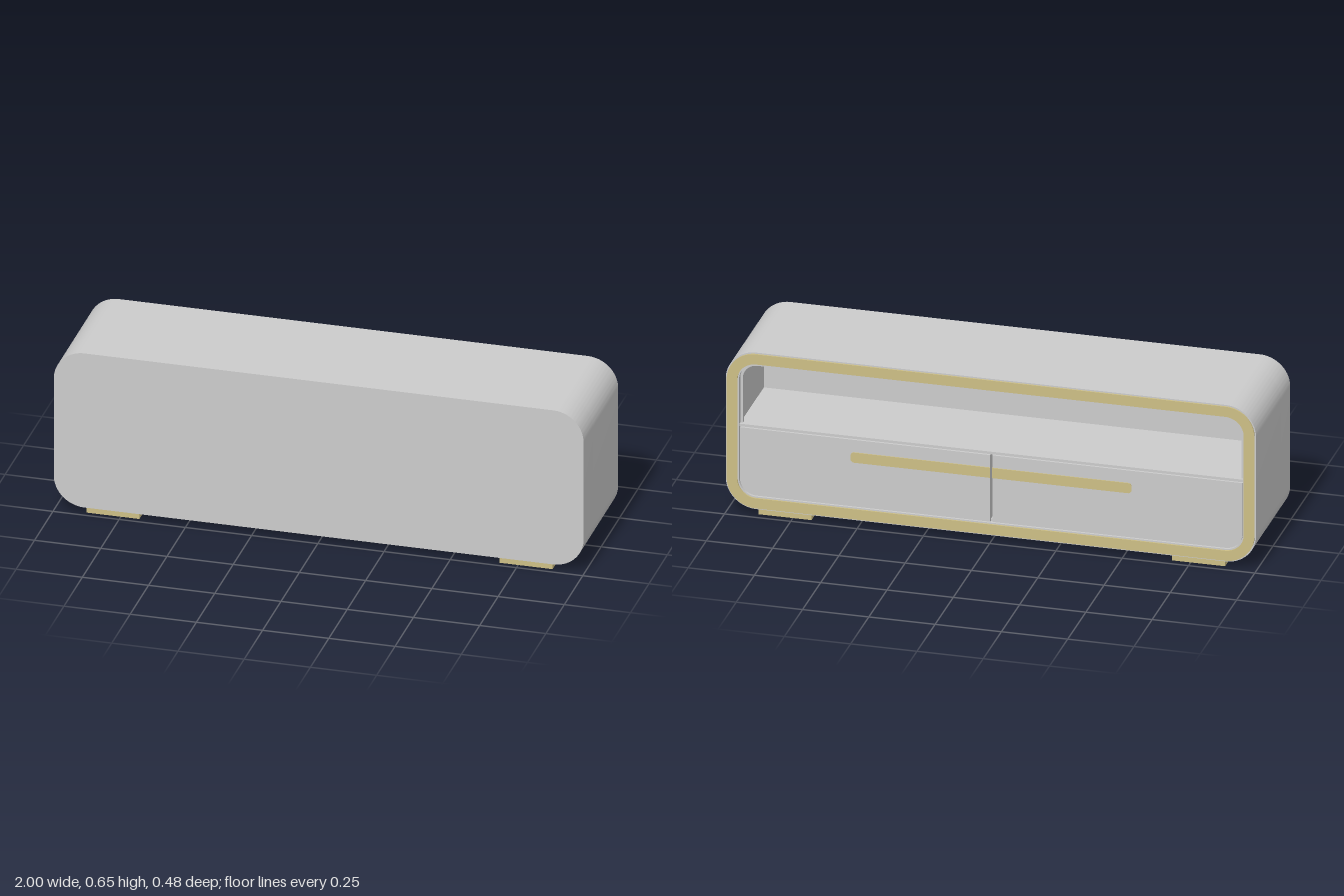
import * as THREE from 'three';
import { toCreasedNormals } from 'three/addons/utils/BufferGeometryUtils.js';

const LEFT = -1, RIGHT = 1, BOTTOM = 0.025, TOP = 0.648, RADIUS = 0.115;
const BACK = -0.238, FRONT = 0.238, PANEL = 0.11;

// Rounded rectangle; radii run bottom-left, bottom-right, top-right, top-left
function roundedRect(x0, y0, x1, y1, radii, Type = THREE.Shape) {
  const [a, b, c, d] = radii;
  const p = new Type();
  p.moveTo(x0 + a, y0);
  p.lineTo(x1 - b, y0);
  if (b) p.absarc(x1 - b, y0 + b, b, -Math.PI / 2, 0, false);
  p.lineTo(x1, y1 - c);
  if (c) p.absarc(x1 - c, y1 - c, c, 0, Math.PI / 2, false);
  p.lineTo(x0 + d, y1);
  if (d) p.absarc(x0 + d, y1 - d, d, Math.PI / 2, Math.PI, false);
  p.lineTo(x0, y0 + a);
  if (a) p.absarc(x0 + a, y0 + a, a, Math.PI, Math.PI * 1.5, false);
  return p;
}

// Cabinet outline moved inward by a given distance
function outline(inset, Type) {
  const r = RADIUS - inset;
  return roundedRect(LEFT + inset, BOTTOM + inset, RIGHT - inset, TOP - inset, [r, r, r, r], Type);
}

function ring(outer, inner) {
  const shape = outline(outer);
  shape.holes.push(outline(inner, THREE.Path));
  return shape;
}

export function createModel() {
  const group = new THREE.Group();
  const grey = new THREE.MeshStandardMaterial({ color: 0xcccccc });
  grey.name = 'light grey lacquer';
  const brass = new THREE.MeshStandardMaterial({ color: 0xcdbf86 });
  brass.name = 'pale brass';

  function add(name, geometry, material) {
    const mesh = new THREE.Mesh(geometry, material);
    mesh.name = name;
    group.add(mesh);
    return mesh;
  }
  function extrude(name, shape, z0, z1, material) {
    const g = new THREE.ExtrudeGeometry(shape, { depth: z1 - z0, bevelEnabled: false, curveSegments: 14 });
    g.translate(0, 0, z0);
    return add(name, toCreasedNormals(g, 0.6), material);
  }
  function box(name, x0, x1, y0, y1, z0, z1, material) {
    const g = new THREE.BoxGeometry(x1 - x0, y1 - y0, z1 - z0);
    g.translate((x0 + x1) / 2, (y0 + y1) / 2, (z0 + z1) / 2);
    return add(name, g, material);
  }

  // Cabinet: closed front block and hollow shell open at the back
  extrude('frontPanel', outline(0), PANEL, FRONT, grey);
  extrude('shell', ring(0, 0.05), -0.232, PANEL, grey);
  extrude('openingLip', ring(0.049, 0.06), -0.215, -0.2, grey);

  // Brass trim around the opening
  extrude('openingTrim', ring(0.005, 0.045), BACK, -0.23, brass);

  // Shelf over the drawers
  box('shelf', -0.95, 0.95, 0.345, 0.355, -0.226, PANEL, grey);

  // Pair of drawers and their long pulls, meeting at the middle
  for (const side of [-1, 1]) {
    const r = 0.065;
    const drawer = side > 0
      ? roundedRect(0.004, 0.077, 0.948, 0.342, [0, r, 0, 0])
      : roundedRect(-0.948, 0.077, -0.004, 0.342, [r, 0, 0, 0]);
    extrude('drawer', drawer, -0.228, PANEL, grey);
    const pull = side > 0
      ? roundedRect(0.004, 0.253, 0.53, 0.293, [0, 0.014, 0.014, 0])
      : roundedRect(-0.53, 0.253, -0.004, 0.293, [0.014, 0, 0, 0.014]);
    extrude('drawerPull', pull, -0.232, -0.227, brass);

    // Feet
    const [x0, x1] = side > 0 ? [0.68, 0.88] : [-0.88, -0.68];
    box('frontFoot', x0, x1, 0, 0.027, 0.121, 0.227, brass);
    box('backFoot', x0, x1, 0, 0.027, -0.22, -0.115, brass);
  }
  return group;
}
